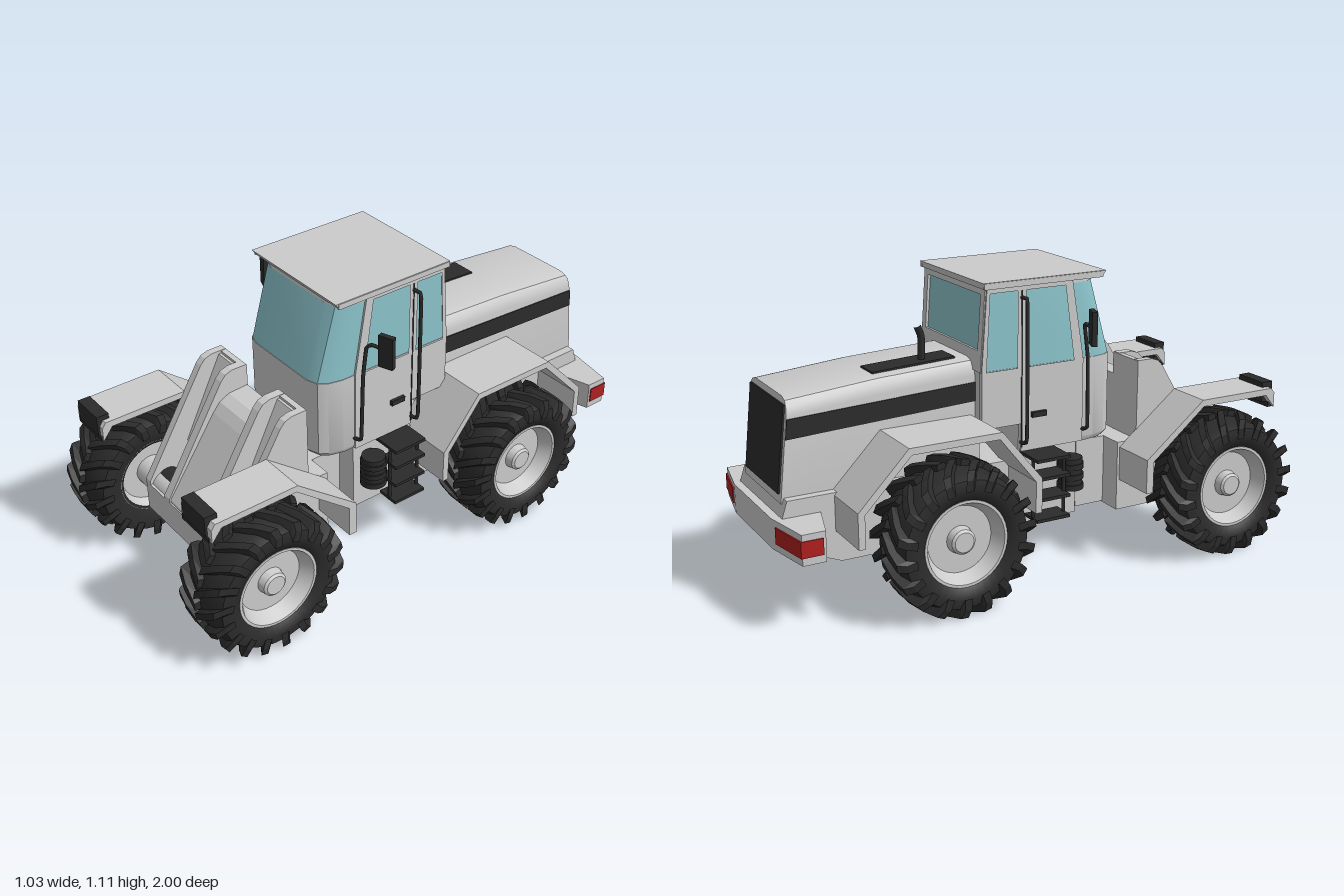
import * as THREE from 'three';
import { mergeGeometries, toCreasedNormals } from 'three/addons/utils/BufferGeometryUtils.js';

const GREY = 0xcccccc, DARK = 0x2b2b2b, GLASS = 0x8cc4cc, RED = 0xb02020;
const materials = {};
const mat = (c) => (materials[c] ??= new THREE.MeshStandardMaterial({ color: c }));

const shapeOf = (pts) => new THREE.Shape(pts.map((p) => new THREE.Vector2(...p)));
const extrude = (shape, depth) => new THREE.ExtrudeGeometry(shape, { depth, bevelEnabled: false });

// Side profile of [z, y] points, extruded from x0 to x1
function profile(pts, x0, x1, holes = []) {
  const flip = (list) => list.map(([z, y]) => [-z, y]);
  const shape = shapeOf(flip(pts));
  holes.forEach((h) => shape.holes.push(shapeOf(flip(h))));
  return extrude(shape, x1 - x0).rotateY(Math.PI / 2).translate(x0, 0, 0);
}

// Plan outline of [x, z] points, extruded from y0 to y1
const plan = (pts, y0, y1) =>
  extrude(shapeOf(pts.map(([x, z]) => [x, -z])), y1 - y0).rotateX(-Math.PI / 2).translate(0, y0, 0);

// Box given by its limits
const box = (x0, x1, y0, y1, z0, z1) =>
  new THREE.BoxGeometry(x1 - x0, y1 - y0, z1 - z0).translate((x0 + x1) / 2, (y0 + y1) / 2, (z0 + z1) / 2);

const tube = (pts, r = 0.007) => new THREE.TubeGeometry(
  new THREE.CatmullRomCurve3(pts.map((p) => new THREE.Vector3(...p)), false, 'catmullrom', 0.15), pts.length * 6, r, 8);

// Closed solid through rings of equal point count, always facing outward
function loft(rings, crease = 0.6) {
  const n = rings[0].length, tris = [];
  for (let i = 0; i + 1 < rings.length; i++) {
    for (let j = 0; j < n; j++) {
      const k = (j + 1) % n, a = rings[i], b = rings[i + 1];
      tris.push([a[j], a[k], b[k]], [a[j], b[k], b[j]]);
    }
  }
  const end = rings[rings.length - 1];
  for (let j = 1; j + 1 < n; j++) tris.push([rings[0][0], rings[0][j + 1], rings[0][j]], [end[0], end[j], end[j + 1]]);
  let volume = 0;
  const o = new THREE.Vector3(...rings[0][0]);
  for (const t of tris) {
    const [a, b, c] = t.map((p) => new THREE.Vector3(...p).sub(o));
    volume += a.dot(b.cross(c));
  }
  if (volume < 0) tris.forEach((t) => t.reverse());
  const geo = new THREE.BufferGeometry();
  geo.setAttribute('position', new THREE.Float32BufferAttribute(tris.flat(2), 3));
  geo.computeVertexNormals();
  return toCreasedNormals(geo, crease);
}

// Copy of a geometry reflected in x = 0
function mirrored(geo) {
  const g = geo.index ? geo.toNonIndexed() : geo.clone();
  g.scale(-1, 1, 1);
  for (const { array, itemSize: s } of Object.values(g.attributes)) {
    for (let i = 0; i < array.length; i += 3 * s) {
      for (let k = 0; k < s; k++) [array[i + s + k], array[i + 2 * s + k]] = [array[i + 2 * s + k], array[i + s + k]];
    }
  }
  return g;
}

const symmetric = (half) => [...half, ...[...half].reverse().map(([x, ...r]) => [-x, ...r])];

// One tread bar from the tyre centre to the shoulder, trailing behind its inner end
function lug(a0, side) {
  const sections = [[-0.004, 0.24, 0.275, 0], [0.06, 0.24, 0.275, 0.17], [0.108, 0.225, 0.268, 0.29], [0.118, 0.195, 0.235, 0.33]];
  return loft(sections.map(([x, ri, ro, lag]) =>
    [[-0.075, ri], [-0.055, ro], [0.055, ro], [0.075, ri]].map(([d, r]) =>
      [side * x, r * Math.cos(a0 - lag + d), r * Math.sin(a0 - lag + d)])), 0.1);
}

const lathe = (pts, crease) => toCreasedNormals(
  new THREE.LatheGeometry(pts.map((p) => new THREE.Vector2(...p)), 40).rotateZ(-Math.PI / 2), crease);

export function createModel() {
  const model = new THREE.Group();
  model.name = 'articulatedTractor';
  const add = (name, geo, color = GREY) => {
    const mesh = new THREE.Mesh(geo, mat(color));
    mesh.name = name;
    model.add(mesh);
  };
  const both = (name, geo, color) => {
    add(name + 'Left', geo, color);
    add(name + 'Right', mirrored(geo), color);
  };

  // Wheels
  const tyre = lathe([[0.14, -0.09], [0.2, -0.112], [0.232, -0.106], [0.248, -0.07], [0.252, 0],
    [0.248, 0.07], [0.232, 0.106], [0.2, 0.112], [0.155, 0.095], [0.14, 0.07]], 0.8);
  const rim = lathe([[0, -0.05], [0.125, -0.05], [0.15, -0.094], [0.158, -0.094], [0.158, 0.098], [0.148, 0.098],
    [0.122, 0.045], [0.05, 0.045], [0.045, 0.075], [0.036, 0.082], [0, 0.082]], 0.4);
  const lugs = [];
  const count = 18, pitch = (Math.PI * 2) / count;
  for (let i = 0; i < count; i++) lugs.push(lug(i * pitch, 1), lug((i + 0.5) * pitch, -1));
  const tread = mergeGeometries(lugs);
  for (const [name, z] of [['front', 0.725], ['rear', -0.42]]) {
    both(name + 'Tyre', tyre.clone().translate(0.397, 0.278, z), DARK);
    both(name + 'Tread', tread.clone().translate(0.397, 0.278, z), DARK);
    both(name + 'Rim', rim.clone().translate(0.397, 0.278, z));
    add(name + 'Axle', new THREE.CylinderGeometry(0.06, 0.06, 0.7, 20).rotateZ(Math.PI / 2).translate(0, 0.278, z));
  }

  // Front frame and loader tower
  add('frontFrame', profile([[0.79, 0.18], [0.79, 0.3], [0.45, 0.3], [0.45, 0.45], [0.345, 0.45], [0.345, 0.18]], -0.265, 0.265));
  const fin = [[0.79, 0.25], [0.79, 0.315], [0.54, 0.725], [0.52, 0.747], [0.49, 0.757], [0.43, 0.757], [0.43, 0.25]];
  both('towerOuterPlate', profile(fin, 0.235, 0.265));
  both('towerInnerPlate', profile(fin, 0.1, 0.135));
  both('towerBackPlate', box(0.1, 0.265, 0.3, 0.755, 0.428, 0.45));
  both('towerSlotFill', profile([[0.62, 0.43], [0.46, 0.745], [0.44, 0.745], [0.44, 0.43]], 0.13, 0.24));
  both('towerPivot', new THREE.CylinderGeometry(0.05, 0.05, 0.11, 20).rotateZ(Math.PI / 2).translate(0.185, 0.295, 0.715), DARK);
  add('towerCentrePanel', profile([[0.785, 0.28], [0.785, 0.31], [0.58, 0.61], [0.55, 0.645], [0.51, 0.665],
    [0.43, 0.67], [0.43, 0.28]], -0.105, 0.105));

  // Articulation joint
  add('frontHingeBlock', box(-0.17, 0.17, 0.185, 0.45, 0.22, 0.36));
  for (const y of [0.2, 0.43]) add('hingePlate', box(-0.12, 0.12, y, y + 0.03, 0.1, 0.26));

  // Front fenders and headlights
  both('frontFender', profile([[0.94, 0.55], [0.94, 0.605], [0.925, 0.625], [0.6, 0.625], [0.355, 0.43], [0.355, 0.3],
    [0.385, 0.3], [0.385, 0.42], [0.605, 0.6], [0.9, 0.6]], 0.262, 0.445));
  both('headlight', box(0.282, 0.42, 0.567, 0.645, 0.9, 0.948), DARK);
  both('headlightBase', box(0.27, 0.432, 0.548, 0.567, 0.92, 0.945), DARK);

  // Rear frame, fenders and bumper
  add('rearFrame', profile([[0.19, 0.185], [-0.76, 0.185], [-0.99, 0.28], [-0.97, 0.38], [-0.95, 0.44], [-0.06, 0.44],
    [-0.06, 0.47], [0.19, 0.47]], -0.215, 0.215));
  both('rearFender', profile([[-0.075, 0.3], [-0.075, 0.43], [-0.235, 0.625], [-0.59, 0.625], [-0.78, 0.43], [-0.78, 0.3],
    [-0.755, 0.3], [-0.755, 0.42], [-0.58, 0.6], [-0.245, 0.6], [-0.1, 0.42], [-0.1, 0.3]], 0.17, 0.415));
  add('bumper', plan(symmetric([[0.19, -1], [0.38, -0.965], [0.38, -0.88], [0.21, -0.83]]), 0.27, 0.38));
  both('tailLight', plan([[0.22, -0.999], [0.384, -0.97], [0.384, -0.89], [0.22, -0.89]], 0.298, 0.357), RED);

  // Hood with side stripes, grille, intake panel and exhaust
  const hoodRing = (z, top, rake) => symmetric([[0.182, 0.42], [0.182, top - 0.06], [0.176, top - 0.03],
    [0.16, top - 0.009], [0.13, top]]).map(([x, y]) => [x, y, z - (top - y) * rake]);
  add('hood', loft([hoodRing(-0.2, 0.83, 0), hoodRing(-0.58, 0.812, 0), hoodRing(-0.92, 0.782, 0.11)]));
  both('hoodStripe', profile([[-0.215, 0.675], [-0.215, 0.745], [-0.926, 0.713], [-0.934, 0.643]], 0.17, 0.186), DARK);
  add('grille', new THREE.BoxGeometry(0.33, 0.31, 0.012).rotateX(0.11).translate(0, 0.605, -0.94), DARK);
  add('hoodPanel', new THREE.BoxGeometry(0.1, 0.012, 0.32).rotateX(-0.05).translate(-0.08, 0.82, -0.43), DARK);
  add('exhaust', tube([[-0.085, 0.8, -0.38], [-0.085, 0.91, -0.38], [-0.085, 0.95, -0.395]], 0.014), DARK);

  // Cab: lower body, rounded glass and framed sides
  const cabRing = (y, front, back, w) => symmetric([[w, back], [w, front - 0.1], [w - 0.013, front - 0.045],
    [w - 0.035, front - 0.015], [w - 0.08, front]]).map(([x, z]) => [x, y, z]);
  add('cabBody', loft([cabRing(0.47, 0.335, -0.07, 0.225), cabRing(0.49, 0.35, -0.07, 0.235), cabRing(0.79, 0.35, -0.07, 0.235)]));
  add('cabRearBody', box(-0.235, 0.235, 0.58, 0.79, -0.218, -0.05));
  add('cabGlass', loft([cabRing(0.79, 0.348, -0.215, 0.233), cabRing(1.08, 0.265, -0.195, 0.233)]), GLASS);
  add('windscreenHeader', loft([cabRing(1.073, 0.27, -0.2, 0.235), cabRing(1.09, 0.266, -0.198, 0.235)]));
  both('cabSide', profile([[0.2, 0.475], [0.2, 0.79], [0.15, 1.085], [-0.2, 1.085], [-0.222, 0.79], [-0.222, 0.58],
    [-0.062, 0.58], [-0.062, 0.475]], 0.22, 0.241, [
    [[0.16, 0.79], [0.12, 1.07], [-0.042, 1.07], [-0.042, 0.79]],
    [[-0.077, 0.79], [-0.077, 1.07], [-0.187, 1.07], [-0.203, 0.79]]]));
  const rear = shapeOf([[-0.235, 0], [0.235, 0], [0.235, 0.295], [-0.235, 0.295]]);
  rear.holes.push(shapeOf([[-0.205, 0.075], [0.205, 0.075], [0.205, 0.275], [-0.205, 0.275]]));
  add('cabRearFrame', extrude(rear, 0.015).rotateX(0.068).translate(0, 0.79, -0.225));
  add('roof', profile([[0.287, 1.11], [0.27, 1.086], [-0.21, 1.086], [-0.217, 1.11]], -0.248, 0.248));
  both('roofGutter', box(0.24, 0.25, 1.088, 1.108, -0.215, 0.275));

  // Door fittings, grab rails and mirrors
  both('doorHandle', box(0.24, 0.254, 0.6, 0.62, -0.02, 0.04), DARK);
  both('doorSeam', box(0.24, 0.243, 0.49, 1.07, -0.062, -0.057), DARK);
  both('grabRail', tube([[0.235, 1.045, -0.06], [0.27, 1.045, -0.06], [0.28, 1.03, -0.06], [0.28, 0.53, -0.06],
    [0.235, 0.51, -0.06]]), DARK);
  both('mirrorArm', tube([[0.235, 0.52, 0.2], [0.275, 0.54, 0.2], [0.278, 0.8, 0.195], [0.278, 0.92, 0.18],
    [0.3, 0.935, 0.17], [0.37, 0.935, 0.155]]), DARK);
  both('mirror', new THREE.BoxGeometry(0.057, 0.125, 0.02).rotateY(0.35).translate(0.363, 0.935, 0.16), DARK);

  // Access steps
  for (const y of [0.225, 0.305, 0.385, 0.455]) both('step', box(0.21 + (y < 0.45 ? 0.04 : 0), 0.34, y, y + 0.012, -0.05, 0.09), DARK);
  for (const z of [-0.045, 0.085]) both('stepRail', tube([[0.3, 0.46, z], [0.3, 0.3, z], [0.3, 0.225, z]]), DARK);

  // Ribbed tanks beside the steps
  for (let i = 0; i < 6; i++) {
    const r = i % 2 ? 0.045 : 0.05;
    both('tankRib', new THREE.CylinderGeometry(r, r, 0.021, 20).translate(0.265, 0.32 + i * 0.02, 0.135), DARK);
  }
  return model;
}
